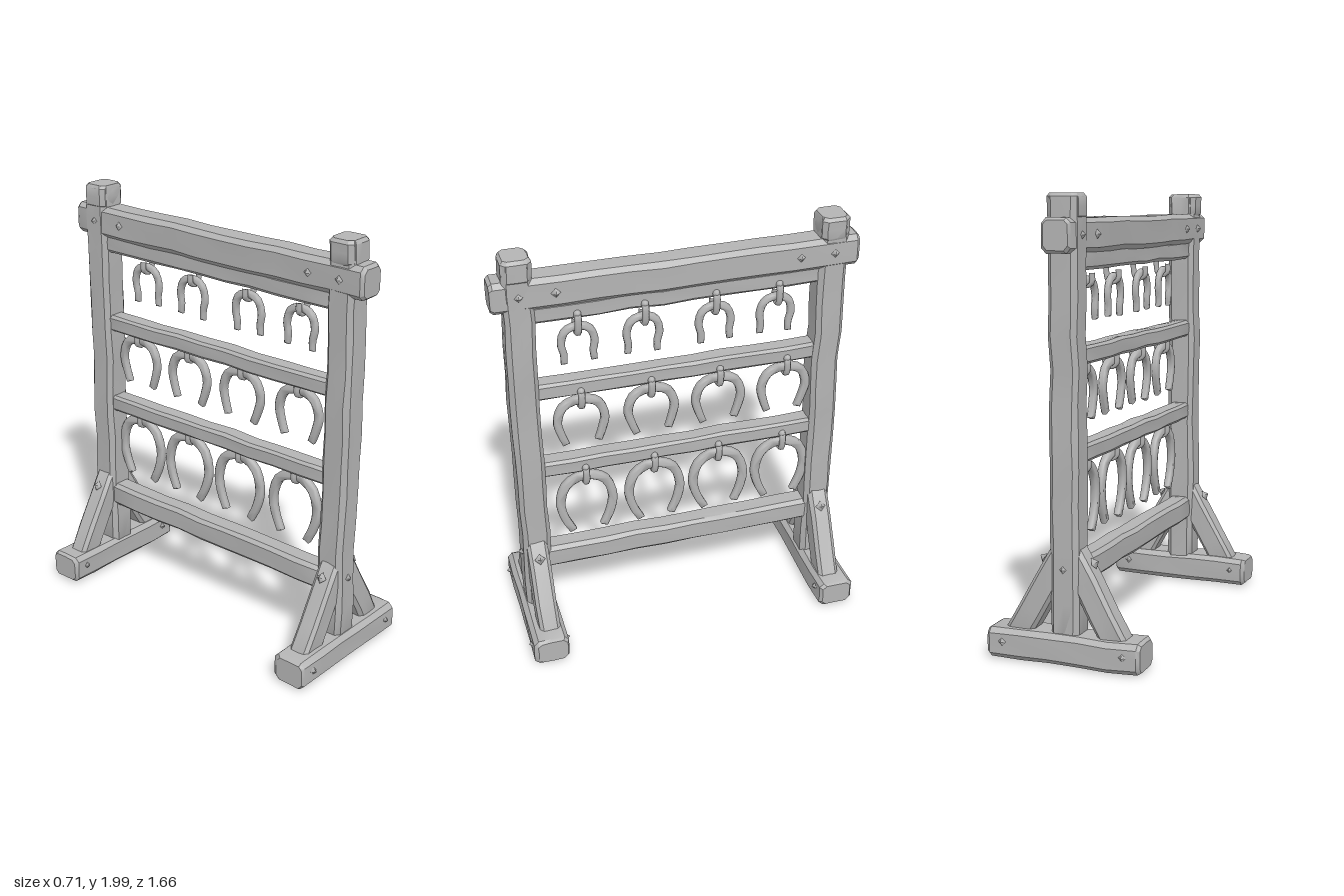
import * as THREE from 'three';
import { toCreasedNormals, mergeVertices } from 'three/addons/utils/BufferGeometryUtils.js';

const material = new THREE.MeshStandardMaterial({ color: 0xb4b4b4 });
material.name = 'plain grey';

// small seeded generator for the hand-hewn wobble, returns -1..1
let seed = 7;
function wobble() {
  seed = (seed * 16807) % 2147483647;
  return (seed / 2147483647) * 2 - 1;
}

// hewn timber along +y, centred: chamfered section lofted through slightly uneven rings
function timber(w, d, length, rough = 0.004) {
  const c = Math.min(w, d) * 0.16, X = w / 2, Z = d / 2;
  const section = [[X, Z - c], [X, 0], [X, c - Z], [X - c, -Z], [0, -Z], [c - X, -Z],
    [-X, c - Z], [-X, 0], [-X, Z - c], [c - X, Z], [0, Z], [X - c, Z]];
  const n = section.length, steps = Math.max(2, Math.round(length / 0.15));
  const levels = [[0, 0.84]];
  for (let i = 0; i <= steps; i++) levels.push([0.015 + (length - 0.03) * i / steps, 1]);
  levels.push([length, 0.84]);
  const pos = [], index = [];
  levels.forEach(([y, s]) => {
    const sx = wobble() * rough, sz = wobble() * rough;
    section.forEach(([x, z]) => pos.push(x * s + sx + wobble() * rough * 0.5, y - length / 2, z * s + sz + wobble() * rough * 0.5));
  });
  for (let i = 0; i < levels.length - 1; i++) {
    for (let j = 0; j < n; j++) {
      const a = i * n + j, b = i * n + (j + 1) % n;
      index.push(a, b, b + n, a, b + n, a + n);
    }
  }
  const last = (levels.length - 1) * n;
  for (let j = 1; j < n - 1; j++) index.push(0, j + 1, j, last, last + j, last + j + 1);
  const g = new THREE.BufferGeometry();
  g.setAttribute('position', new THREE.Float32BufferAttribute(pos, 3));
  g.setIndex(index);
  return toCreasedNormals(g, 0.6);
}

// horseshoe standing in the z-y plane, crown at y = 0, open end down
function horseshoe(width, height, tipGap, thick) {
  const r = width / 2 - thick / 2, h = height;
  const spine = new THREE.CatmullRomCurve3([
    [-tipGap, -h + 0.01], [-r * 0.88, -h * 0.75], [-r, -h * 0.48], [-r * 0.72, -h * 0.18], [0, -thick / 2],
    [r * 0.72, -h * 0.18], [r, -h * 0.48], [r * 0.88, -h * 0.75], [tipGap, -h + 0.01],
  ].map(([x, y]) => new THREE.Vector3(x, y, 0)));
  const outer = [], inner = [], N = 22, bevel = 0.007;
  for (let i = 0; i <= N; i++) {
    const p = spine.getPoint(i / N), t = spine.getTangent(i / N);
    const half = thick * (0.42 + 0.1 * Math.sin(Math.PI * i / N)) - bevel;
    outer.push(new THREE.Vector2(p.x - t.y * half, p.y + t.x * half));
    inner.push(new THREE.Vector2(p.x + t.y * half, p.y - t.x * half));
  }
  const depth = thick * 0.8 - 2 * bevel;
  const g = new THREE.ExtrudeGeometry(new THREE.Shape([...outer, ...inner.reverse()]),
    { depth, bevelEnabled: true, bevelSize: bevel, bevelThickness: bevel, bevelSegments: 1 });
  g.translate(0, 0, -depth / 2);
  g.rotateY(Math.PI / 2);
  g.deleteAttribute('uv');
  g.deleteAttribute('normal');
  return toCreasedNormals(mergeVertices(g), 0.9);
}

export function createModel() {
  const model = new THREE.Group();
  model.name = 'horseshoeRack';
  const add = (name, geometry, x = 0, y = 0, z = 0) => {
    const mesh = new THREE.Mesh(geometry, material);
    mesh.name = name;
    mesh.position.set(x, y, z);
    model.add(mesh);
    return mesh;
  };
  // small four-sided nail head pointing along a direction
  const nail = (x, y, z, dir) => {
    const m = add('nail', new THREE.ConeGeometry(0.026, 0.026, 4), x, y, z);
    m.quaternion.setFromUnitVectors(new THREE.Vector3(0, 1, 0), new THREE.Vector3(...dir).normalize());
  };

  // two end frames: foot, post and a pair of slanted braces
  for (const end of [1, -1]) {
    const z = 0.71 * end;
    add('post', timber(0.132, 0.132, 1.88), 0, 1.06, z);
    add('postHead', timber(0.142, 0.125, 0.11, 0.002), 0, 1.945, z);
    const foot = timber(0.135, 0.168, 0.71);
    foot.rotateZ(Math.PI / 2);
    add('foot', foot, 0, 0.08, 0.72 * end);
    for (const side of [1, -1]) {
      const brace = add('brace', timber(0.115, 0.1, 0.52, 0.003), 0.125 * side, 0.3, z);
      brace.rotation.z = Math.atan2(0.23, 0.4) * side;
      nail(0.125 * side, 0.46, z, [side, 0.55, 0]);
      nail(0.073 * side, 1.83, z, [side, 0, 0]);
      nail(0.073 * side, 1.83, 0.55 * end, [side, 0, 0]);
      for (const face of [1, -1]) {
        nail(0.28 * side, 0.09, 0.72 * end + 0.088 * face, [0, 0, face]);
      }
    }
    for (const face of [1, -1]) nail(0, 0.43, z + 0.07 * face, [0, 0, face]);
  }

  // cross timbers along z: [name, width in x, bottom y, top y, length]
  const rails = [
    ['topBeam', 0.132, 1.755, 1.9, 1.66],
    ['upperRail', 0.09, 1.68, 1.77, 1.34],
    ['middleRail', 0.09, 1.285, 1.365, 1.34],
    ['lowerRail', 0.09, 0.865, 0.945, 1.34],
    ['bottomRail', 0.105, 0.34, 0.455, 1.34],
  ];
  for (const [name, w, low, high, length] of rails) {
    const g = timber(w, high - low, length, 0.003);
    g.rotateX(Math.PI / 2);
    add(name, g, 0, (low + high) / 2, 0);
  }

  // three rows of horseshoes, growing toward the bottom, each on a bent hook
  const rows = [
    { rail: 1.68, top: 1.65, width: 0.185, height: 0.2, tip: 0.068, thick: 0.034, at: [0.46, 0.16, -0.165, -0.46] },
    { rail: 1.285, top: 1.275, width: 0.26, height: 0.255, tip: 0.078, thick: 0.04, at: [0.46, 0.135, -0.19, -0.515] },
    { rail: 0.865, top: 0.855, width: 0.295, height: 0.335, tip: 0.078, thick: 0.043, at: [0.455, 0.125, -0.19, -0.51] },
  ];
  for (const row of rows) {
    const shoe = horseshoe(row.width, row.height, row.tip, row.thick);
    const y = row.rail;
    const bend = new THREE.CatmullRomCurve3([
      [0.03, y + 0.03], [0.055, y + 0.02], [0.06, y - 0.01], [0.048, row.top - row.thick - 0.005],
      [0.02, row.top - row.thick - 0.01], [0.0, row.top - row.thick + 0.005], [0.0, row.top + 0.012],
    ].map(([px, py]) => new THREE.Vector3(px, py, 0)));
    const hook = new THREE.TubeGeometry(bend, 14, 0.012, 6);
    hook.scale(1, 1, 1.4);
    for (const z of row.at) {
      const mesh = add('horseshoe', shoe, 0.02, row.top, z);
      mesh.rotation.x = wobble() * 0.05;
      add('hook', hook, 0, 0, z);
      add('hookHead', new THREE.SphereGeometry(0.017, 8, 6), 0.048, y + 0.028, z);
    }
  }
  return model;
}
